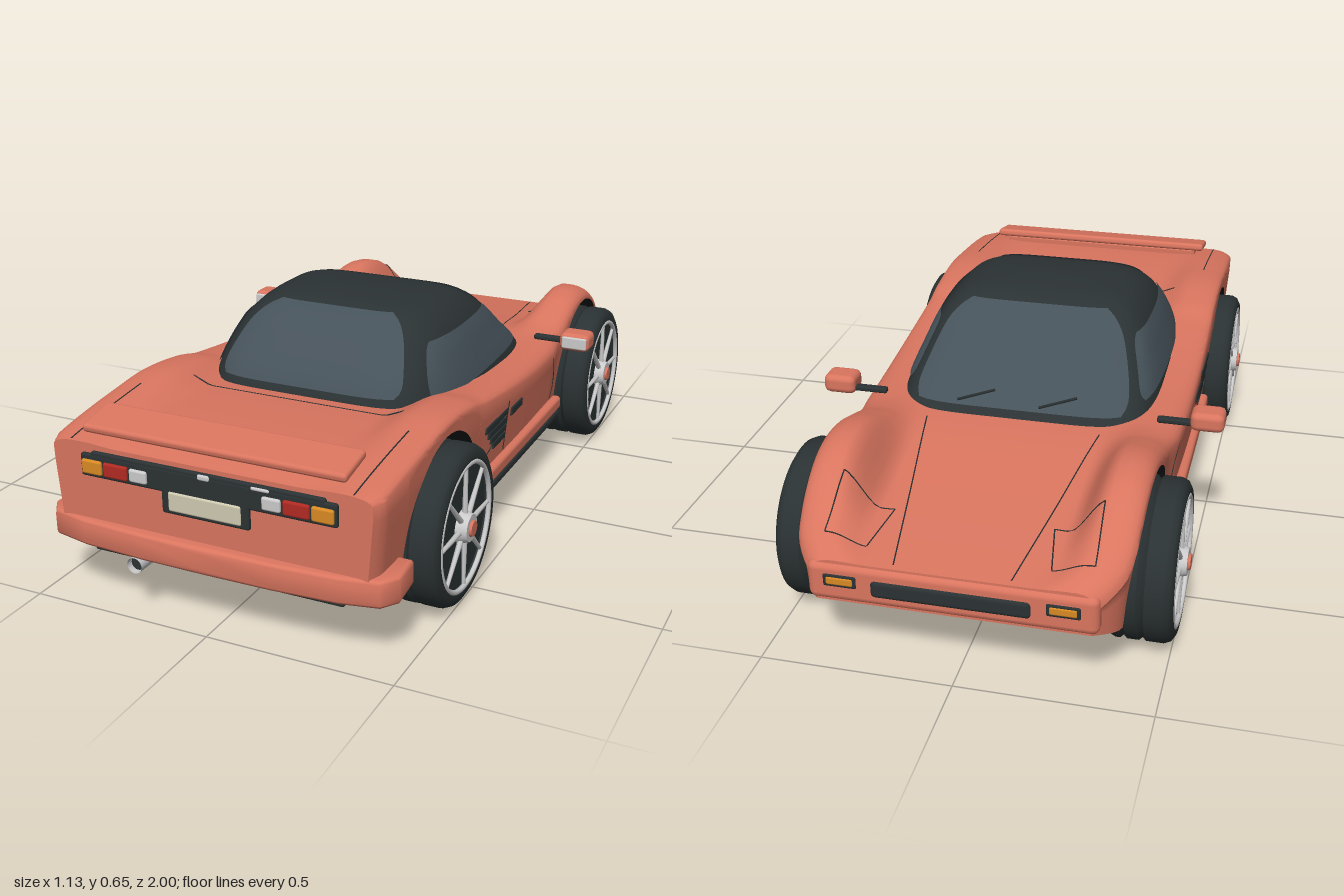
import * as THREE from 'three';
import { toCreasedNormals } from 'three/addons/utils/BufferGeometryUtils.js';
import { RoundedBoxGeometry } from 'three/addons/geometries/RoundedBoxGeometry.js';

const mat = (color) => new THREE.MeshStandardMaterial({ color, side: THREE.DoubleSide });
const paint = mat(0xd9755f), dark = mat(0x2b3233), glass = mat(0x46525a), black = mat(0x16191a);
const grey = mat(0xcccccc), amber = mat(0xd98a24), red = mat(0xb02a22), cream = mat(0xcfcab0);
const { smoothstep } = THREE.MathUtils;

// Smooth interpolation through [position, value] pairs
function curve(p) {
  const m = p.map((_, i) => {
    const a = p[Math.max(i - 1, 0)], b = p[Math.min(i + 1, p.length - 1)];
    return (b[1] - a[1]) / (b[0] - a[0]);
  });
  return (x) => {
    let i = 0;
    while (i < p.length - 2 && x > p[i + 1][0]) i++;
    const h = p[i + 1][0] - p[i][0], t = Math.min(1, Math.max(0, (x - p[i][0]) / h)), u = 1 - t;
    return u * u * (1 + 2 * t) * p[i][1] + t * t * (3 - 2 * t) * p[i + 1][1] + h * t * u * (u * m[i] - t * m[i + 1]);
  };
}

// Surface through rows of points
function skin(rows, crease = 0.6) {
  const n = rows[0].length, index = [];
  for (let i = 0; i < rows.length - 1; i++) for (let j = 0; j < n - 1; j++) {
    const a = i * n + j, b = a + n;
    index.push(a, b, a + 1, b, b + 1, a + 1);
  }
  const g = new THREE.BufferGeometry();
  g.setAttribute('position', new THREE.Float32BufferAttribute(rows.flat(2), 3));
  g.setIndex(index);
  return toCreasedNormals(g, crease);
}

// Body measures along z (nose at -z, tail at +z)
const NOSE = -0.985, TAIL = 0.97;
const width = curve([[-0.985, 0.355], [-0.95, 0.385], [-0.9, 0.412], [-0.8, 0.425], [-0.4, 0.435], [-0.3, 0.448], [0, 0.455], [0.4, 0.452], [0.93, 0.45], [0.97, 0.435]]);
const crest = curve([[-0.985, 0.315], [-0.95, 0.335], [-0.88, 0.375], [-0.8, 0.437], [-0.73, 0.473], [-0.65, 0.488], [-0.57, 0.48], [-0.48, 0.453], [-0.4, 0.428], [-0.3, 0.416], [0, 0.425], [0.3, 0.455], [0.4, 0.478], [0.55, 0.492], [0.7, 0.48], [0.85, 0.463], [0.97, 0.445]]);
const middle = curve([[-0.985, 0.312], [-0.9, 0.325], [-0.7, 0.355], [-0.4, 0.405], [0, 0.42], [0.4, 0.44], [0.6, 0.455], [0.9, 0.455], [0.97, 0.44]]);
const floor = curve([[-0.985, 0.2], [-0.9, 0.165], [-0.82, 0.15], [0.82, 0.15], [0.9, 0.165], [0.97, 0.18]]);
const sideX = (y, z) => width(z) - 0.08 * Math.max(0, 0.4 - y);
const ARCH = 0.235, AXLE_Y = 0.213, AXLES = [-0.645, 0.575];

function topY(x, z) {
  const s = Math.abs(x) / width(z), c = middle(z), f = crest(z), r = 0.04 - 0.02 * smoothstep(z, -0.3, 0.3);
  const round = s > 0.85 ? r * (1 - Math.sqrt(Math.max(0, 1 - ((s - 0.85) / 0.15) ** 2))) : 0;
  return c + (f - c) * smoothstep(s, 0.56, 0.8) - round;
}

function lowerEdge(z) {
  for (const a of AXLES) if (Math.abs(z - a) <= ARCH) return AXLE_Y + Math.sqrt(ARCH ** 2 - (z - a) ** 2);
  return floor(z);
}

function section(z) {
  const W = width(z), edge = lowerEdge(z), f = floor(z), outer = [];
  for (const s of [0, 0.2, 0.4, 0.52, 0.56, 0.6, 0.64, 0.68, 0.72, 0.76, 0.8, 0.86, 0.9, 0.94, 0.97, 0.99, 1])
    outer.push([W * s, s > 0.78 ? Math.max(topY(W * s, z), edge + 0.004) : topY(W * s, z), z]);
  const y0 = outer.at(-1)[1];
  for (let k = 1; k <= 6; k++) {
    const y = y0 + (edge - y0) * k / 6;
    outer.push([sideX(y, z), y, z]);
  }
  const flip = (p) => [-p[0], p[1], p[2]];
  const low = [outer.at(-1), [0.325, edge, z], [0.325, f, z]];
  return { outer: [...outer.slice(1).reverse().map(flip), ...outer], under: [...low, ...low.map(flip).reverse()] };
}

// Cabin: rounded rings by height
const front = curve([[0.38, -0.39], [0.44, -0.32], [0.5, -0.24], [0.56, -0.17], [0.6, -0.12], [0.635, -0.055], [0.65, 0], [0.656, 0.09]]);
const back = curve([[0.38, 0.5], [0.44, 0.48], [0.5, 0.447], [0.56, 0.39], [0.6, 0.345], [0.635, 0.28], [0.65, 0.22], [0.656, 0.14]]);
const half = curve([[0.38, 0.375], [0.44, 0.36], [0.5, 0.338], [0.56, 0.312], [0.6, 0.285], [0.635, 0.24], [0.65, 0.18], [0.656, 0.1]]);
const bow = (f) => (1 - Math.abs(f) ** 6) ** (1 / 6);
function cabinPoint(fx, fz, y, off = 0) {
  const zc = (front(y) + back(y)) / 2, zh = (back(y) - front(y)) / 2;
  const taper = 1 - (fz > 0 ? 0.14 : 0.05) * fz * fz;
  const push = (f) => Math.abs(f) > 0.9 ? off * Math.sign(f) : 0;
  return [fx * half(y) * taper + push(fx), y + off * 0.6, zc + fz * zh + push(fz)];
}
function pane(y0, y1, f0, f1, place) {
  const rows = [];
  for (let i = 0; i <= 16; i++) {
    const v = i / 16, k = 1 - 0.07 * Math.abs(2 * v - 1) ** 6, row = [];
    for (let j = 0; j <= 24; j++) row.push(place((f0 + (f1 - f0) * j / 24) * k, y0 + (y1 - y0) * v));
    rows.push(row);
  }
  return skin(rows, 1);
}

export function createModel() {
  const car = new THREE.Group();
  const add = (name, geo, m, x = 0, y = 0, z = 0, parent = car) => {
    const mesh = new THREE.Mesh(geo, m);
    mesh.name = name;
    mesh.position.set(x, y, z);
    parent.add(mesh);
    return mesh;
  };
  const box = (name, m, w, h, d, x, y, z, r = 0.006) =>
    add(name, new RoundedBoxGeometry(w, h, d, 2, Math.min(r, w / 2.1, h / 2.1, d / 2.1)), m, x, y, z);
  const seam = (name, pts, r = 0.0018) => {
    const c = new THREE.CatmullRomCurve3(pts.map((p) => new THREE.Vector3(...p)), false, 'catmullrom', 0);
    return add(name, new THREE.TubeGeometry(c, pts.length * 3, r, 5), dark);
  };
  const topSeam = (name, x0, z0, x1, z1) => seam(name, Array.from({ length: 13 }, (_, i) => {
    const x = x0 + (x1 - x0) * i / 12, z = z0 + (z1 - z0) * i / 12;
    return [x, topY(x, z), z];
  }));

  // Shell with wheel arches, closed at nose and tail
  const zs = [TAIL];
  for (let z = NOSE; z < TAIL - 0.005; z += 0.02) if (AXLES.every((a) => Math.abs(z - a) > ARCH + 0.002)) zs.push(z);
  for (const a of AXLES) {
    zs.push(a - ARCH - 0.0005, a + ARCH + 0.0005);
    for (let i = 0; i <= 32; i++) zs.push(a - ARCH * 0.99999 * Math.cos(Math.PI * i / 32));
  }
  zs.sort((a, b) => a - b);
  const rings = zs.map(section), outer = rings.map((r) => r.outer);
  const cap = (z) => outer[0].map(() => [0, floor(z), z]);
  add('bodyShell', skin([cap(NOSE), ...outer, cap(TAIL)]), paint);
  add('underbody', skin(rings.map((r) => r.under)), black);

  // Cabin and windows
  const cabin = [];
  for (const y of [0.38, 0.41, 0.44, 0.47, 0.5, 0.53, 0.56, 0.58, 0.6, 0.62, 0.635, 0.645, 0.65, 0.654, 0.656]) {
    cabin.push(Array.from({ length: 97 }, (_, i) => {
      const a = i / 96 * Math.PI * 2, c = Math.cos(a), s = Math.sin(a);
      return cabinPoint(Math.sign(c) * Math.abs(c) ** (1 / 3), Math.sign(s) * Math.abs(s) ** (1 / 3), y);
    }));
  }
  cabin.push(cabin[0].map(() => [0, 0.657, 0.115]));
  add('cabin', skin(cabin, 0.8), dark);
  add('windscreen', pane(0.425, 0.63, -0.88, 0.88, (f, y) => cabinPoint(f, -bow(f), y, 0.004)), glass);
  add('rearWindow', pane(0.465, 0.638, 0.88, -0.88, (f, y) => cabinPoint(f, bow(f), y, 0.004)), glass);
  for (const s of [1, -1]) {
    add('sideWindow', pane(0.44, 0.578, -0.84 * s, 0.74 * s, (f, y) => cabinPoint(s * bow(f), s * f, y, 0.004)), glass);
  }
  for (const x of [-0.16, 0.07]) seam('wiper', [[x, 0.462, -0.3], [x + 0.1, 0.438, -0.333]], 0.004);

  // Wheels
  const tyreProfile = [[0.1, -0.07], [0.16, -0.085], [0.188, -0.084], [0.204, -0.074], [0.21, -0.062], [0.21, -0.052], [0.2, -0.042], [0.21, -0.032], [0.21, -0.004], [0.2, 0.006], [0.21, 0.016], [0.21, 0.06], [0.203, 0.076], [0.188, 0.085], [0.174, 0.085], [0.168, 0.068], [0, 0.068]];
  const tyre = toCreasedNormals(new THREE.LatheGeometry(tyreProfile.map((p) => new THREE.Vector2(...p)), 56).rotateZ(-Math.PI / 2), 0.7);
  const disc = (r0, r1, h) => new THREE.CylinderGeometry(r0, r1, h, 28).rotateZ(-Math.PI / 2);
  for (const z of AXLES) for (const s of [1, -1]) {
    const wheel = new THREE.Group();
    wheel.name = z < 0 ? 'frontWheel' : 'rearWheel';
    wheel.position.set(0.425 * s, AXLE_Y, z);
    if (s < 0) wheel.rotation.y = Math.PI;
    car.add(wheel);
    add('tyre', tyre, dark, 0, 0, 0, wheel);
    add('innerDisc', disc(0.15, 0.15, 0.02), dark, -0.068, 0, 0, wheel);
    add('rimRing', new THREE.TorusGeometry(0.167, 0.007, 8, 56).rotateY(Math.PI / 2), grey, 0.08, 0, 0, wheel);
    for (let i = 0; i < 8; i++) {
      const spoke = new THREE.CylinderGeometry(0.005, 0.008, 0.14, 6).translate(0, 0.098, 0);
      add('spoke', spoke.rotateX(i * Math.PI / 4), grey, 0.078, 0, 0, wheel);
    }
    add('hub', disc(0.036, 0.046, 0.034), grey, 0.08, 0, 0, wheel);
    add('hubCap', disc(0.02, 0.023, 0.01), paint, 0.099, 0, 0, wheel);
  }

  // Wrapped rear bumper
  const edge = [[0.465, 0.84], [0.472, 0.92], [0.445, 0.958], [0.35, 0.978], [0.18, 0.988]];
  const plan = new THREE.Shape([...edge, [0, 0.99], ...edge.map(([x, z]) => [-x, z]).reverse()].map((p) => new THREE.Vector2(...p)));
  const bumper = new THREE.ExtrudeGeometry(plan, { depth: 0.042, bevelThickness: 0.015, bevelSize: 0.01, bevelSegments: 4 });
  add('rearBumper', toCreasedNormals(bumper.rotateX(Math.PI / 2), 0.8), paint, 0, 0.226, 0);
  box('rearValance', dark, 0.7, 0.03, 0.12, 0, 0.156, 0.89);

  // Tail: spoiler, lamps, plate and exhaust
  box('spoiler', paint, 0.72, 0.024, 0.115, 0, 0.483, 0.897, 0.01).rotation.x = 0.2;
  box('spoilerBase', paint, 0.66, 0.04, 0.05, 0, 0.455, 0.89);
  box('lampPanel', dark, 0.7, 0.06, 0.03, 0, 0.39, 0.965);
  box('lampPanelTop', dark, 0.64, 0.03, 0.03, 0, 0.413, 0.964);
  box('plateRecess', dark, 0.24, 0.08, 0.03, 0, 0.345, 0.965);
  box('plate', cream, 0.2, 0.052, 0.03, 0, 0.34, 0.969);
  box('lidCatch', grey, 0.035, 0.016, 0.03, 0, 0.418, 0.967);
  box('lidTrim', grey, 0.05, 0.01, 0.03, 0.152, 0.418, 0.967);
  for (const s of [1, -1]) {
    box('indicatorLamp', amber, 0.058, 0.038, 0.03, 0.315 * s, 0.388, 0.972);
    box('brakeLamp', red, 0.07, 0.038, 0.03, 0.247 * s, 0.388, 0.972);
    box('reverseLamp', grey, 0.05, 0.034, 0.03, 0.182 * s, 0.388, 0.972);
    topSeam('rearLidSeam', 0.385 * s, 0.66, 0.385 * s, 0.965);
  }
  topSeam('engineLidSeam', -0.31, 0.52, 0.31, 0.52);
  add('exhaust', new THREE.CylinderGeometry(0.021, 0.021, 0.1, 24, 1, true).rotateX(Math.PI / 2), grey, -0.205, 0.146, 0.94);
  add('exhaustCore', new THREE.CircleGeometry(0.018, 24), dark, -0.205, 0.146, 0.975);

  // Nose: bumper, mouth, indicators and bonnet seams
  box('noseBumper', paint, 0.72, 0.105, 0.05, 0, 0.256, -0.97, 0.02);
  box('mouth', dark, 0.4, 0.052, 0.03, 0, 0.255, -0.985, 0.014);
  box('chinLip', dark, 0.5, 0.025, 0.06, 0, 0.165, -0.88);
  for (const s of [1, -1]) {
    box('indicatorFrame', dark, 0.085, 0.036, 0.028, 0.275 * s, 0.265, -0.984);
    box('frontIndicator', amber, 0.07, 0.024, 0.03, 0.275 * s, 0.265, -0.985);
    topSeam('bonnetSeam', 0.145 * s, -0.97, 0.24 * s, -0.39);
    const lid = [[0.23, -0.92], [0.335, -0.92], [0.33, -0.78], [0.205, -0.775]];
    lid.forEach(([x, z], i) => {
      const [x1, z1] = lid[(i + 1) % 4];
      topSeam('headlampLidSeam', x * s, z, x1 * s, z1);
    });
  }

  // Flanks: mirrors, sills, vents, handles and door seams
  for (const s of [1, -1]) {
    box('mirrorHousing', paint, 0.092, 0.054, 0.075, 0.518 * s, 0.438, -0.292, 0.018);
    box('mirrorGlass', grey, 0.075, 0.036, 0.01, 0.52 * s, 0.438, -0.256);
    box('mirrorStem', dark, 0.1, 0.016, 0.022, 0.432 * s, 0.428, -0.305);
    box('sillTrim', paint, 0.03, 0.042, 0.62, 0.447 * s, 0.21, -0.04, 0.012);
    box('sillStep', dark, 0.03, 0.03, 0.67, 0.437 * s, 0.165, -0.035, 0.012);
    box('doorHandle', dark, 0.02, 0.026, 0.095, 0.445 * s, 0.338, 0.05);
    for (let i = 0; i < 4; i++) {
      const y = 0.352 - 0.023 * i;
      box('ventSlat', dark, 0.02, 0.02, 0.17 - 0.025 * i, (sideX(y, 0.2) - 0.006) * s, y, 0.21 - 0.011 * i, 0.004);
    }
    const side = (y, z) => [s * (sideX(y, z) + 0.0005), y, z];
    seam('doorRearSeam', [side(0.38, 0.12), side(0.32, 0.125), side(0.235, 0.13)]);
    seam('doorFrontSeam', [side(0.37, -0.3), side(0.3, -0.345), side(0.26, -0.35), side(0.21, -0.3)]);
    seam('ventSeam', [side(0.28, 0.32), side(0.275, 0.26), side(0.3, 0.2)]);
  }
  return car;
}
